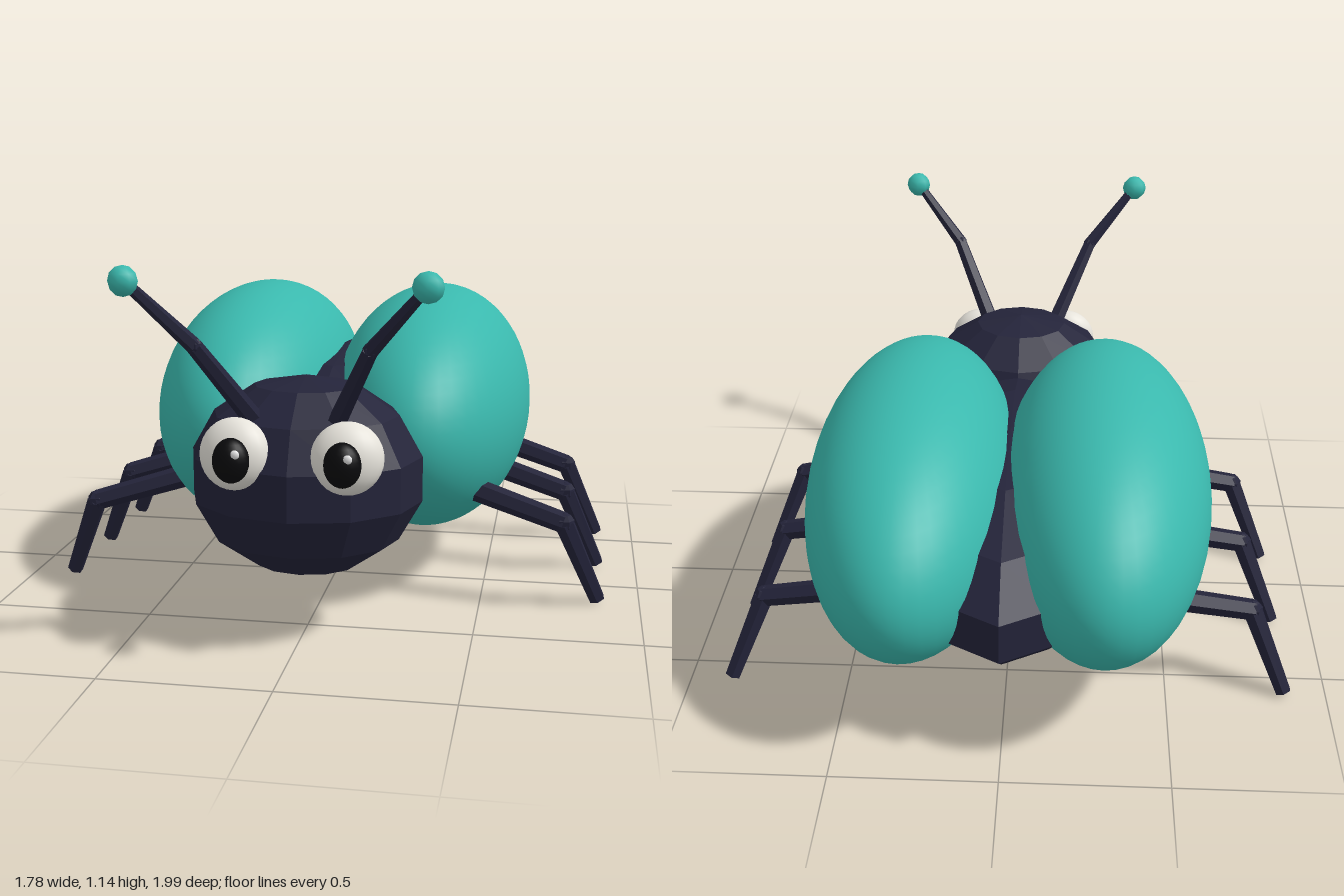
import * as THREE from 'three';

const mat = (name, color, flatShading = false) => {
  const m = new THREE.MeshStandardMaterial({ color, flatShading });
  m.name = name;
  return m;
};

export function createModel() {
  const root = new THREE.Group();
  root.name = 'beetle';
  const dark = mat('dark navy', 0x24243a, true);
  const teal = mat('teal', 0x3ab8ad);
  const white = mat('eye white', 0xe6e3db);
  const black = mat('pupil black', 0x0a0a0c);
  const shine = mat('highlight white', 0xffffff);

  // Scaled sphere placed at a centre
  const ball = (name, m, center, radii, ws, hs, parent = root) => {
    const mesh = new THREE.Mesh(new THREE.SphereGeometry(1, ws, hs), m);
    mesh.name = name;
    mesh.position.set(...center);
    mesh.scale.set(...radii);
    parent.add(mesh);
    return mesh;
  };

  // Tapered six-sided limb through a list of points, with a joint at each bend
  const limb = (name, points, radii) => {
    const group = new THREE.Group();
    group.name = name;
    const p = points.map(a => new THREE.Vector3(...a));
    for (let i = 0; i < p.length - 1; i++) {
      const dir = p[i + 1].clone().sub(p[i]);
      const seg = new THREE.Mesh(
        new THREE.CylinderGeometry(radii[i + 1], radii[i], dir.length(), 6), dark);
      seg.name = name + 'Segment';
      seg.position.copy(p[i]).add(p[i + 1]).multiplyScalar(0.5);
      seg.quaternion.setFromUnitVectors(new THREE.Vector3(0, 1, 0), dir.normalize());
      group.add(seg);
      if (i > 0) ball(name + 'Joint', dark, points[i], Array(3).fill(radii[i]), 6, 5, group);
    }
    root.add(group);
  };

  // Body and head
  ball('body', dark, [0, 0.46, -0.25], [0.34, 0.29, 0.71], 12, 7);
  ball('head', dark, [0, 0.48, 0.51], [0.354, 0.3, 0.297], 12, 7);

  for (const s of [1, -1]) {
    const side = s > 0 ? 'left' : 'right';

    // Wing cases
    ball(side + 'WingCase', teal, [s * 0.295, 0.55, -0.28], [0.33, 0.397, 0.72], 48, 32);

    // Eyes
    const eye = ball(side + 'Eye', white, [s * 0.16, 0.592, 0.74], [0.103, 0.103, 0.068], 24, 16);
    eye.rotation.set(-0.2, s * 0.15, 0);
    ball(side + 'Pupil', black, [s * 0.156, 0.587, 0.8], [0.053, 0.064, 0.045], 20, 14);
    ball(side + 'EyeHighlight', shine, [s * 0.156 + 0.02, 0.613, 0.836], [0.013, 0.013, 0.008], 10, 8);

    // Antennae
    limb(side + 'Antenna',
      [[s * 0.11, 0.66, 0.66], [s * 0.24, 0.915, 0.852], [s * 0.4, 1.1, 0.95]],
      [0.03, 0.023, 0.015]);
    ball(side + 'AntennaTip', teal, [s * 0.4, 1.098, 0.95], [0.042, 0.042, 0.042], 8, 6);

    // Three legs on each side
    for (const z of [0.16, -0.205, -0.57]) {
      limb(side + 'Leg',
        [[s * 0.35, 0.395, z - 0.02], [s * 0.757, 0.28, z + 0.06], [s * 0.868, 0.015, z - 0.005]],
        [0.038, 0.033, 0.026]);
    }
  }
  return root;
}
